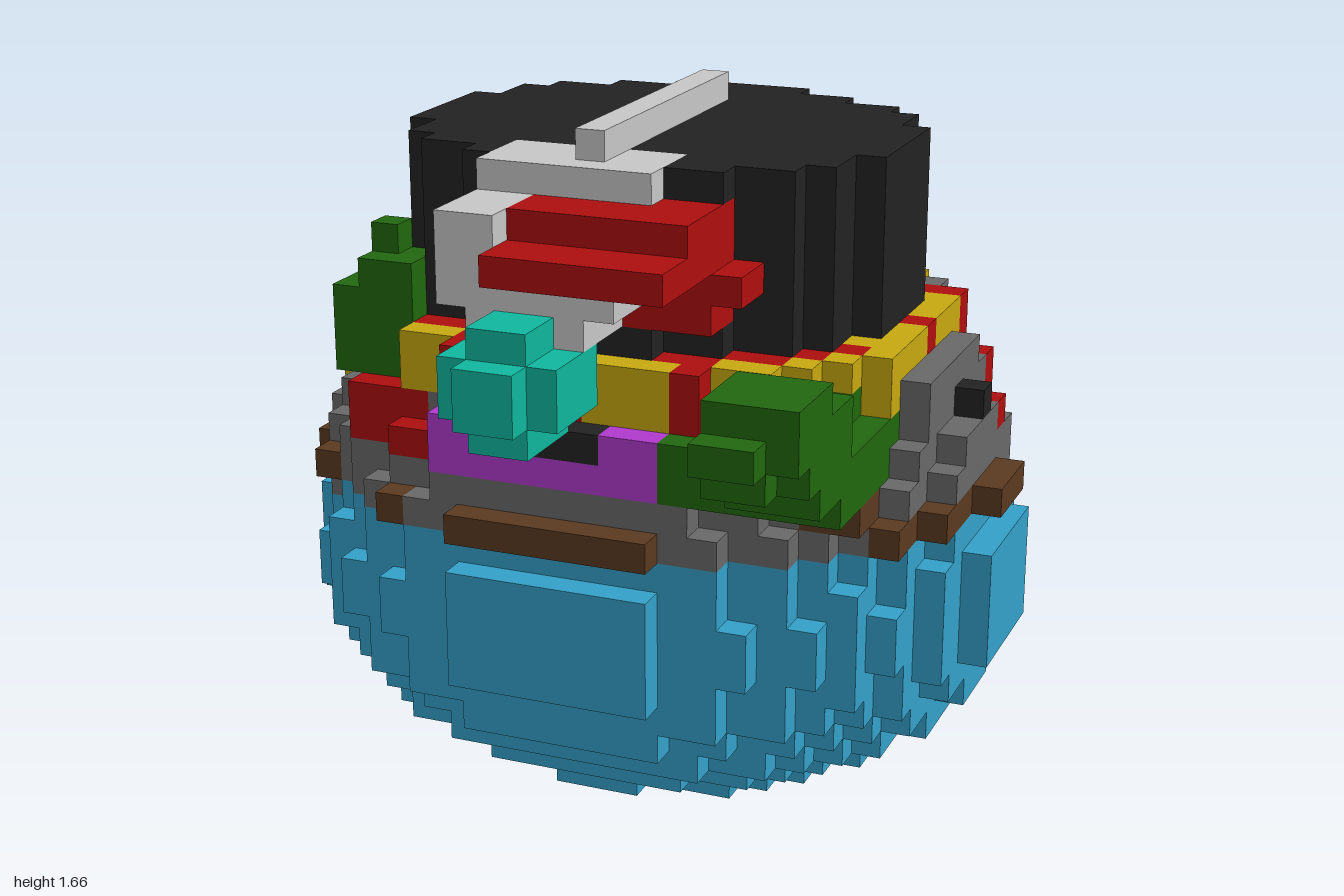
import * as THREE from 'three';
import { mergeGeometries } from 'three/addons/utils/BufferGeometryUtils.js';

const U = 2 / 29; // edge length of one cube
const COLORS = {
  blue: 0x35a3cc, black: 0x232323, grey: 0x6a6a6a, lightGrey: 0xc9c9c9, red: 0xb00e0e,
  yellow: 0xc9ab10, green: 0x22690f, teal: 0x10b9a0, purple: 0xb23ad0, brown: 0x5c3a20,
};

export function createModel() {
  const cells = new Map();
  const key = (x, y, z) => `${x},${y},${z}`;
  const put = (part, color, x, y, z) => cells.set(key(x, y, z), { part, color, x, y, z });

  // solid block of cubes, inclusive ranges
  function box(part, color, [x0, x1], [y0, y1], [z0, z1]) {
    for (let x = x0; x <= x1; x++)
      for (let y = y0; y <= y1; y++)
        for (let z = z0; z <= z1; z++) put(part, color, x, y, z);
  }
  // one elliptical layer; color may be a rule of (x, z)
  const inside = (x, z, rx, rz) => (x / rx) ** 2 + (z / rz) ** 2 <= 1;
  function layer(part, y, rx, rz, color, zMin = -8) {
    for (let x = -12; x <= 12; x++)
      for (let z = zMin; z <= 10; z++)
        if (inside(x, z, rx, rz)) {
          put(part, typeof color === 'function' ? color(x, z) : color, x, y, z);
        }
  }

  // round body, flat at the back
  for (let y = 0; y <= 10; y++) {
    const s = Math.sqrt(1 - ((y - 7.5) / 8) ** 2);
    layer('body', y, 12.5 * s, 10.5 * s, 'blue');
  }

  // grey shoulder with a yellow garland on one side
  const garland = (x, z) => (x < -3 && z < 4 && !inside(x, z, 9, 7) ? 'yellow' : 'grey');
  layer('shoulder', 11, 11.87, 9.97, 'grey');
  layer('shoulder', 12, 11.6, 9.9, 'grey');
  layer('shoulder', 13, 11.4, 9.7, garland);
  layer('shoulder', 14, 10.7, 8.9, garland);
  box('shoulder', 'grey', [10, 10], [15, 15], [-2, 3]);
  box('shoulder', 'grey', [-10, -9], [10, 10], [4, 5]);
  box('garland', 'yellow', [-10, -10], [15, 15], [-3, 2]);

  // brown studs round the shoulder
  box('studs', 'brown', [-3, 3], [11, 11], [10, 10]);
  box('studs', 'brown', [-6, -6], [11, 11], [9, 9]);
  box('studs', 'brown', [8, 9], [12, 13], [6, 7]);
  for (const s of [-1, 1]) {
    box('studs', 'brown', [12 * s, 12 * s], [11, 11], [-1, 1]);
    box('studs', 'brown', [11 * s, 11 * s], [11, 11], [-1, 4]);
    box('studs', 'brown', [10 * s, 10 * s], [11, 11], [5, 6]);
    box('sideKnob', 'black', [11 * s, 11 * s], [14, 14], [0, 0]);
  }

  // face plate
  box('facePlate', 'purple', [-4, 3], [13, 14], [9, 9]);
  box('mouth', 'black', [-2, 1], [14, 14], [9, 9]);
  box('frontKnob', 'black', [5, 5], [14, 14], [8, 8]);

  // red patch on the front and red markers on the side
  box('redPatch', 'red', [-8, -6], [13, 14], [6, 7]);
  box('redPatch', 'red', [-6, -5], [13, 13], [8, 8]);
  box('redPatch', 'red', [-4, -4], [14, 14], [8, 8]);
  box('redPatch', 'red', [-8, -8], [15, 15], [6, 6]);
  box('redMarker', 'red', [9, 10], [13, 14], [-4, -4]);
  box('redMarker', 'red', [11, 11], [13, 13], [-2, -2]);

  // hat band
  for (const y of [15, 16]) {
    for (let x = -9; x <= 9; x++)
      for (let z = -8; z <= 8; z++) {
        if (!inside(x, z, 10.3, 8.8)) continue;
        const innerDiagonal = inside(x, z, 9.6, 7.9) && Math.abs(x) > 1 && Math.abs(z) > 3;
        const stripe = x === 0 || z === 0 || Math.abs(x) === 4 && z > 7 || z === -4 && x > 7;
        const worn = x > 4 && x % 2 === 0 && z < -3;
        put('hatBand', innerDiagonal || stripe ? 'red' : worn ? 'grey' : 'yellow', x, y, z);
      }
  }

  // tall hat with a ridge on top
  for (let y = 15; y <= 22; y++) layer('hat', y, 8.8, 7.2, 'black');
  box('hatRidge', 'lightGrey', [0, 0], [23, 23], [-4, 6]);

  // small red cap with a pale trim
  box('capTrim', 'lightGrey', [-3, 2], [22, 22], [5, 7]);
  box('capTrim', 'lightGrey', [-3, -2], [19, 21], [7, 10]);
  box('capTrim', 'lightGrey', [-3, 2], [19, 19], [8, 10]);
  box('capTrim', 'lightGrey', [-2, 1], [18, 18], [8, 10]);
  box('cap', 'red', [-1, 4], [21, 21], [6, 9]);
  box('cap', 'red', [-1, 4], [20, 20], [6, 11]);
  box('cap', 'red', [2, 5], [19, 19], [6, 7]);
  box('cap', 'red', [1, 4], [18, 18], [6, 7]);

  // teal nose
  box('nose', 'teal', [-2, 1], [16, 17], [10, 12]);
  box('nose', 'teal', [-1, 0], [15, 18], [10, 12]);
  box('nose', 'teal', [-1, 0], [16, 17], [9, 13]);

  // green bush and reaching branch
  box('bush', 'green', [-9, -7], [15, 17], [4, 6]);
  box('bush', 'green', [-8, -7], [18, 18], [4, 6]);
  box('bush', 'green', [-8, -8], [19, 19], [5, 5]);
  box('branch', 'green', [7, 9], [13, 14], [4, 9]);
  box('branch', 'green', [4, 6], [13, 14], [7, 9]);
  box('branch', 'green', [7, 8], [15, 15], [5, 7]);
  box('branch', 'green', [7, 9], [14, 14], [9, 11]);
  box('branch', 'green', [7, 9], [15, 16], [9, 12]);
  box('branch', 'green', [7, 9], [16, 16], [10, 13]);
  box('branch', 'green', [7, 8], [15, 16], [13, 13]);
  box('branch', 'green', [7, 9], [17, 17], [11, 13]);
  box('branch', 'green', [7, 8], [16, 16], [14, 14]);

  // back box: panel, end posts, dark lining and slot
  box('backPanel', 'grey', [-6, 6], [4, 9], [-11, -11]);
  box('backLining', 'black', [-5, 5], [5, 11], [-10, -10]);
  box('backLining', 'black', [-5, 5], [8, 10], [-9, -9]);
  box('backLining', 'black', [-4, 4], [4, 5], [-9, -9]);
  for (const s of [-1, 1]) {
    box('backPost', 'grey', [6 * s, 6 * s], [5, 11], [-11, -10]);
    box('backPost', 'grey', [6 * s, 6 * s], [12, 12], [-11, -11]);
  }
  // stepped lid, sill and black strip above it
  [[-14, 2], [-13, 3], [-12, 4], [-11, 5], [-10, 5], [-9, 5]].forEach(([z, w]) =>
    box('backLid', 'lightGrey', [-w, w], [12, 12], [z, z]));
  box('backSill', 'grey', [-5, 5], [13, 13], [-9, -9]);
  box('backSill', 'grey', [-5, 5], [14, 14], [-9, -9]);
  box('backStrip', 'black', [-3, 3], [14, 14], [-9, -9]);

  return buildCubes(cells, key);
}

// Turns the cubes into one mesh per part and colour, keeping only outer faces
function buildCubes(cells, key) {
  const h = Math.PI / 2;
  const sides = [
    [1, 0, 0, 0, h], [-1, 0, 0, 0, -h], [0, 1, 0, -h, 0],
    [0, -1, 0, h, 0], [0, 0, 1, 0, 0], [0, 0, -1, 0, 2 * h],
  ].map(([x, y, z, rx, ry]) => ({
    x, y, z,
    face: new THREE.PlaneGeometry(U, U).rotateX(rx).rotateY(ry)
      .translate(x * U / 2, y * U / 2, z * U / 2),
  }));
  const parts = new Map();
  for (const c of cells.values()) {
    const id = `${c.part}|${c.color}`;
    for (const s of sides) {
      if (cells.has(key(c.x + s.x, c.y + s.y, c.z + s.z))) continue;
      if (!parts.has(id)) parts.set(id, []);
      parts.get(id).push(s.face.clone().translate(c.x * U, (c.y + 0.5) * U, c.z * U));
    }
  }
  const materials = {};
  for (const [name, color] of Object.entries(COLORS)) {
    materials[name] = new THREE.MeshStandardMaterial({ color });
    materials[name].name = name;
  }
  const group = new THREE.Group();
  for (const [id, faces] of parts) {
    const [part, color] = id.split('|');
    const mesh = new THREE.Mesh(mergeGeometries(faces), materials[color]);
    mesh.name = part;
    group.add(mesh);
  }
  return group;
}
